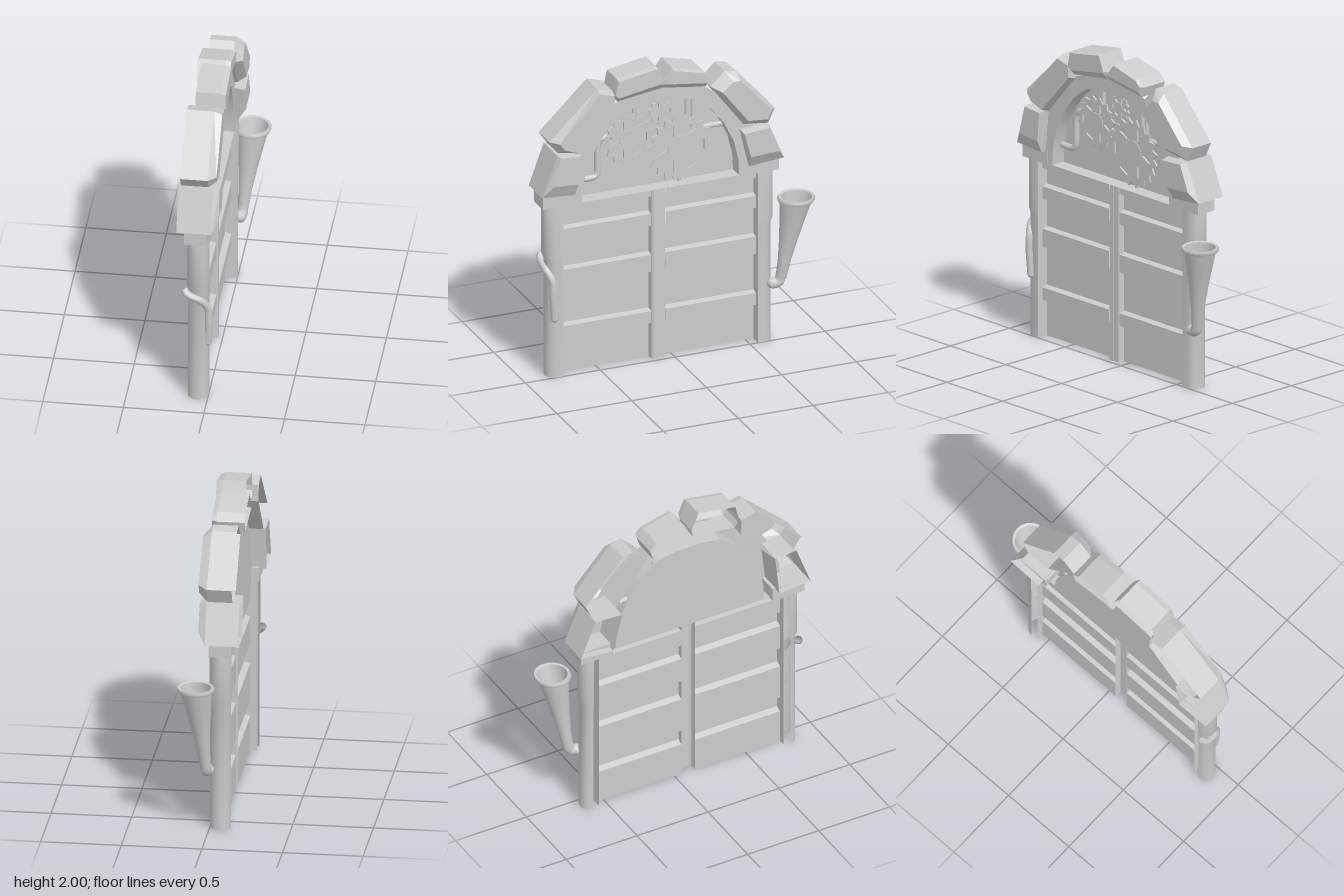
import * as THREE from 'three';
import { toCreasedNormals } from 'three/addons/utils/BufferGeometryUtils.js';

const MID = 0.095; // z of the doorway's centre line

export function createModel() {
  const model = new THREE.Group();
  const mat = new THREE.MeshStandardMaterial({ color: 0xcccccc, side: THREE.DoubleSide });
  const V = (x, y, z) => new THREE.Vector3(x, y, z);

  const add = (name, geo, crease = 0.6) => {
    const mesh = new THREE.Mesh(toCreasedNormals(geo, crease), mat);
    mesh.name = name;
    model.add(mesh);
  };
  // skin between cross-sections
  const loft = (rings, closed, cap) => {
    const p = [];
    const tri = (...v) => v.forEach(a => p.push(a.x, a.y, a.z));
    for (let r = 0; r + 1 < rings.length; r++) {
      const a = rings[r], b = rings[r + 1], n = a.length;
      for (let i = 0; i < (closed ? n : n - 1); i++) {
        const j = (i + 1) % n;
        tri(a[i], a[j], b[j]);
        tri(a[i], b[j], b[i]);
      }
    }
    if (cap) {
      const e = rings[rings.length - 1];
      for (let i = 1; i + 1 < e.length; i++) tri(e[0], e[i], e[i + 1]);
    }
    const g = new THREE.BufferGeometry();
    g.setAttribute('position', new THREE.Float32BufferAttribute(p, 3));
    g.computeVertexNormals();
    return g;
  };
  const tube = (name, pts, r) => add(name, new THREE.TubeGeometry(
    new THREE.CatmullRomCurve3(pts.map(p => V(...p)), false, 'catmullrom', 0.4), 28, r, 10), 1);
  // shape drawn in (-z, y), turned to face +x
  const facing = (geo, x) => geo.rotateY(Math.PI / 2).translate(x, 0, 0);

  // ---- Door leaves: one pressed sheet each, slats hollow behind ----
  const leaf = [[-0.075, 0]];
  for (const [bottom, top] of [[0.225, 0.33], [0.57, 0.71], [0.88, 0.985]])
    leaf.push([-0.075, bottom], [-0.037, bottom + 0.015], [-0.037, top - 0.01], [-0.075, top]);
  leaf.push([-0.075, 1.095], [-0.037, 1.095], [-0.037, 1.15], [-0.1, 1.15]);
  for (const [z0, z1] of [[-0.555, 0.05], [0.145, 0.75]])
    add('doorLeaf', loft([z0, z1].map(z => leaf.map(([x, y]) => V(x, y, z))), false), 0.1);

  // ---- Centre stile: lapped edges of both leaves ----
  const stile = [[-0.075, 0.145], [-0.036, 0.142], [-0.027, 0.13], [-0.027, 0.1], [-0.033, 0.1],
    [-0.033, 0.055], [-0.075, 0.05]];
  add('centreStile', loft([0, 1.15].map(y => stile.map(([x, z]) => V(x, y, z))), false), 0.1);

  // ---- Posts and capitals, mirrored about the centre line ----
  for (const s of [1, -1]) {
    const section = (y, w) => {
      const pts = [V(-0.12, y, MID + s * 0.65), V(0, y, MID + s * 0.65)];
      for (let i = 0; i <= 10; i++) {
        const a = Math.PI / 2 - i / 10 * Math.PI;
        pts.push(V(-0.064 + (0.064 + w / 3) * Math.sin(a), y, MID + s * (0.693 + (0.06 + w) * Math.cos(a))));
      }
      return pts;
    };
    add('post', loft([section(0, 0), section(0.79, 0), section(0.82, 0.014), section(1.15, 0.014)], false));
    add('capital', new THREE.BoxGeometry(0.14, 0.09, 0.225).translate(-0.07, 1.19, MID + s * 0.675));
  }

  // ---- Arch: front ring, reveal, back plate ----
  const half = [[0.525, 0], [0.518, 0.11], [0.487, 0.24], [0.42, 0.375], [0.33, 0.485], [0.215, 0.57], [0.1, 0.59]];
  const inner = [...half, ...half.slice().reverse().map(([w, h]) => [-w, h])]
    .map(([w, h]) => new THREE.Vector2(w - MID, 1.15 + h));
  const outer = Array.from({ length: 15 }, (_, i) => {
    const a = Math.PI * i / 14;
    return new THREE.Vector2(-MID + 0.7 * Math.cos(a), 1.15 + 0.7 * Math.sin(a));
  });
  add('archRing', facing(new THREE.ShapeGeometry(
    new THREE.Shape([...outer, ...inner.slice().reverse()])), -0.003));
  const rim = x => inner.map(p => V(x, p.y, -p.x));
  add('archReveal', loft([rim(-0.003), rim(-0.1)], true), 0.4);
  add('archBack', facing(new THREE.ShapeGeometry(new THREE.Shape(inner)), -0.1));

  // ---- Rough stones: side outline and front-face outline as [z, y], back x, edge x, front x ----
  const stones = [
    [[[0.8, 1.51], [0.65, 1.5], [0.68, 1.225], [0.9, 1.24]],
      [[0.79, 1.505], [0.66, 1.495], [0.675, 1.31], [0.84, 1.32]], -0.185, 0.03, 0.07],
    [[[0.84, 1.595], [0.785, 1.515], [0.65, 1.495], [0.415, 1.765], [0.42, 1.87], [0.52, 1.9]],
      [[0.79, 1.59], [0.755, 1.545], [0.66, 1.51], [0.42, 1.775], [0.425, 1.855], [0.52, 1.88]], -0.17, 0, 0.05],
    [[[0.425, 1.845], [0.395, 1.8], [0.1, 1.84], [0.09, 1.885], [0.14, 2], [0.4, 1.955]],
      [[0.42, 1.855], [0.395, 1.835], [0.105, 1.885], [0.1, 1.895], [0.14, 1.99], [0.4, 1.945]], -0.13, 0.02, 0.055],
    [[[0.09, 1.87], [0.025, 1.96], [-0.175, 1.91], [-0.22, 1.86], [-0.2, 1.795], [0.11, 1.84]],
      [[0.08, 1.88], [0.025, 1.95], [-0.175, 1.9], [-0.21, 1.865], [-0.195, 1.83], [0.095, 1.87]], -0.165, 0.01, 0.04],
    [[[-0.23, 1.79], [-0.325, 1.88], [-0.4, 1.865], [-0.66, 1.575], [-0.615, 1.48], [-0.45, 1.5]],
      [[-0.29, 1.76], [-0.36, 1.82], [-0.41, 1.82], [-0.62, 1.59], [-0.59, 1.53], [-0.46, 1.54]], -0.14, 0.015, 0.07],
    [[[-0.43, 1.465], [-0.615, 1.475], [-0.72, 1.23], [-0.49, 1.21]],
      [[-0.435, 1.455], [-0.6, 1.465], [-0.67, 1.3], [-0.48, 1.29]], -0.185, 0.02, 0.065],
  ];
  for (const [side, front, x0, x1, x2] of stones) {
    const ring = (outline, x) => outline.map(([z, y]) => V(x, y, z));
    add('archStone', loft([ring(side, x0), ring(side, x1), ring(front, x2)], true, true), 0.1);
  }

  // ---- Gears: pointed teeth, triangular openings, round hub plate ----
  const gear = (z, y, r, teeth, x) => {
    const shape = new THREE.Shape();
    for (let i = 0; i < teeth * 2; i++) {
      const a = Math.PI * i / teeth;
      const rr = i % 2 ? r : r * 0.84;
      shape[i ? 'lineTo' : 'moveTo'](rr * Math.cos(a), rr * Math.sin(a));
    }
    for (let i = 0; i < 6; i++) {
      const a = Math.PI / 3 * i, hole = new THREE.Path();
      [[0.74, 0.26], [0.74, -0.26], [0.4, 0]].forEach(([k, d], j) =>
        hole[j ? 'lineTo' : 'moveTo'](k * r * Math.cos(a + d), k * r * Math.sin(a + d)));
      shape.holes.push(hole);
    }
    const g = new THREE.ExtrudeGeometry(shape, { depth: 0.012, bevelEnabled: false }).translate(-z, y, 0);
    add('gear', facing(g, x));
    add('gearHub', new THREE.CylinderGeometry(r * 0.38, r * 0.38, 0.016, 16)
      .rotateZ(Math.PI / 2).translate(x + 0.008, y, z));
  };
  gear(0.285, 1.495, 0.17, 16, -0.07);
  gear(-0.055, 1.385, 0.222, 20, -0.055);
  gear(0.07, 1.645, 0.085, 12, -0.065);

  // ---- Pipes inside the arch ----
  const px = -0.08;
  tube('bentPipe', [[px, 1.27, 0.61], [px, 1.27, 0.52], [px, 1.3, 0.487], [px, 1.48, 0.483],
    [px, 1.525, 0.45], [px, 1.53, 0.31]], 0.02);
  tube('sidePipe', [[px, 1.485, -0.18], [px, 1.485, -0.38]], 0.017);
  for (const [z, y0, y1] of [[-0.11, 1.5, 1.72], [-0.15, 1.5, 1.7], [0.24, 1.6, 1.72], [-0.06, 1.15, 1.3]])
    tube('uprightPipe', [[px, y0, z], [px, y1, z]], 0.014);

  // ---- Curved handle on the left post ----
  tube('handle', [[-0.145, 0.79, 0.835], [-0.12, 0.76, 0.85], [-0.04, 0.72, 0.845],
    [0, 0.65, 0.818], [0.005, 0.55, 0.815], [0, 0.4, 0.805]], 0.024);
  add('handleTip', new THREE.SphereGeometry(0.024, 10, 8).translate(0, 0.4, 0.805), 1);

  // ---- Horn on the right post: sheared lathe with rolled rim ----
  tube('hornElbow', [[0.005, 0.39, -0.63], [0.01, 0.39, -0.665], [0.014, 0.405, -0.69], [0.016, 0.45, -0.702]], 0.034);
  add('hornKnob', new THREE.SphereGeometry(0.037, 12, 8).translate(0.005, 0.39, -0.65), 1);
  const profile = [[0.034, 0.42], [0.042, 0.55], [0.06, 0.7], [0.088, 0.88], [0.1, 0.95], [0.113, 0.952],
    [0.118, 0.965], [0.112, 0.98], [0.096, 0.976], [0.082, 0.88], [0.05, 0.7], [0.03, 0.5]];
  const horn = new THREE.LatheGeometry(profile.map(p => new THREE.Vector2(...p)), 20);
  const pos = horn.attributes.position;
  for (let i = 0; i < pos.count; i++) {
    const t = (pos.getY(i) - 0.42) / 0.55;
    pos.setX(i, pos.getX(i) + 0.016 + 0.05 * t);
    pos.setZ(i, pos.getZ(i) - 0.7 - 0.082 * t);
  }
  horn.computeVertexNormals();
  add('horn', horn, 0.8);

  return model;
}
